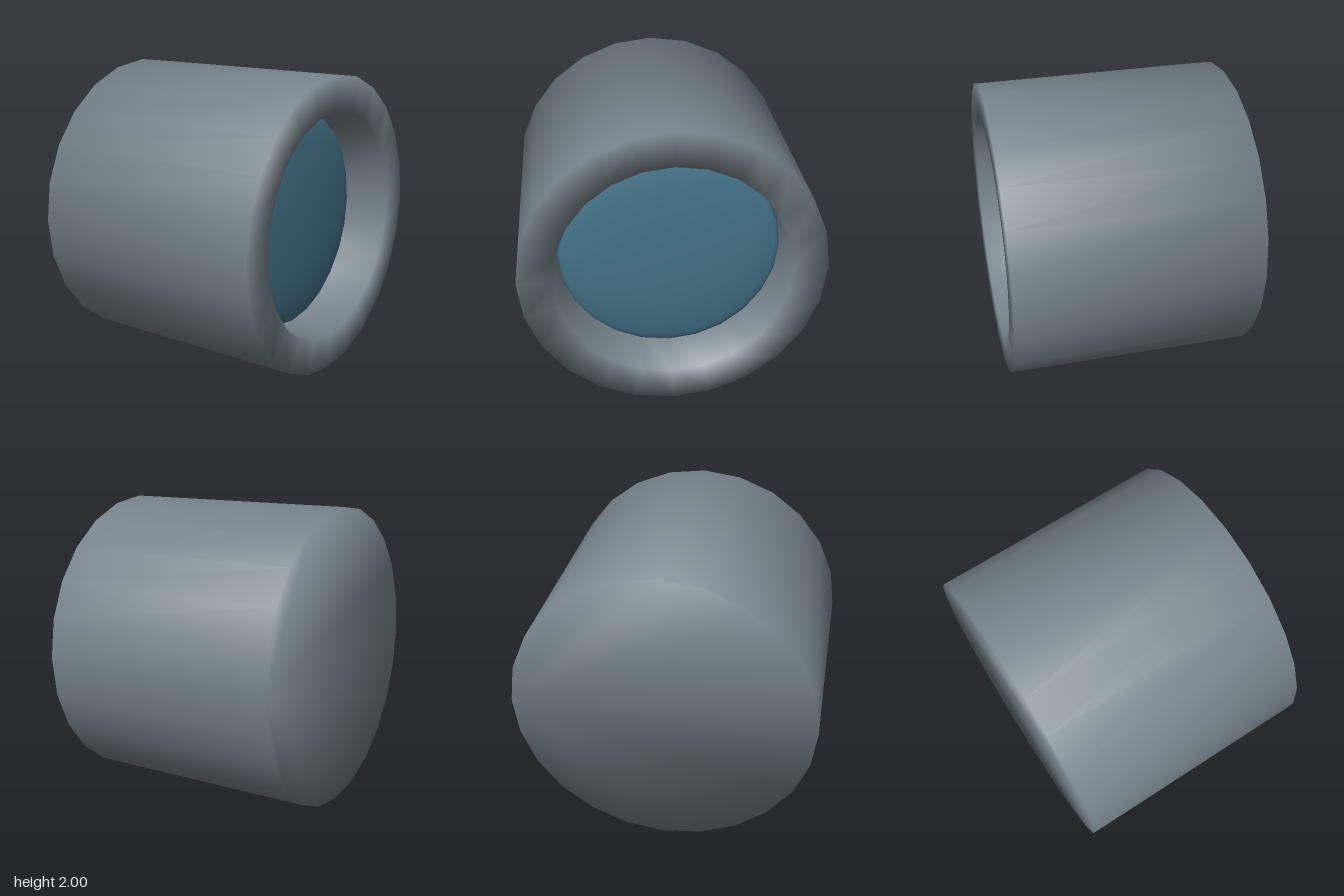
import * as THREE from 'three';

const SIDES = 24;

// Housing: a closed back, outer wall, front rim and tapered bore sharing smooth normals
function housingGeometry() {
  const profile = [[1, -0.815], [1, 0.815], [0.77, 0.815], [0.737, 0.46]]; // radius, z
  const positions = [];
  const index = [];
  for (const [r, z] of profile) {
    for (let j = 0; j < SIDES; j++) {
      const a = (j / SIDES) * Math.PI * 2;
      positions.push(r * Math.cos(a), r * Math.sin(a), z);
    }
  }
  for (let i = 0; i < profile.length - 1; i++) {
    for (let j = 0; j < SIDES; j++) {
      const k = (j + 1) % SIDES;
      const a = i * SIDES + j, b = i * SIDES + k;
      index.push(a, b, a + SIDES, b, b + SIDES, a + SIDES);
    }
  }
  // Flat back cap
  for (let j = 1; j < SIDES - 1; j++) index.push(0, j + 1, j);

  const geometry = new THREE.BufferGeometry();
  geometry.setAttribute('position', new THREE.Float32BufferAttribute(positions, 3));
  geometry.setIndex(index);
  geometry.computeVertexNormals();
  // Even, soft shading around the back edge
  for (let j = 0; j < SIDES; j++) {
    const a = (j / SIDES) * Math.PI * 2;
    geometry.attributes.normal.setXYZ(j, 0.85 * Math.cos(a), 0.85 * Math.sin(a), -0.53);
  }
  return geometry;
}

export function createModel() {
  const housingGrey = new THREE.MeshStandardMaterial({ color: 0x77838b });
  housingGrey.name = 'housing grey';
  const lensBlue = new THREE.MeshStandardMaterial({ color: 0x447389 });
  lensBlue.name = 'lens blue';

  const model = new THREE.Group();
  model.name = 'lensBarrel';

  const housing = new THREE.Mesh(housingGeometry(), housingGrey);
  housing.name = 'housing';
  housing.position.y = 1;

  // Shallow domed lens set back inside the bore
  const dome = new THREE.SphereGeometry(0.74, SIDES, 10, 0, Math.PI * 2, 0, Math.PI / 2);
  dome.rotateX(Math.PI / 2);
  dome.scale(1, 1, 0.13);
  const lens = new THREE.Mesh(dome, lensBlue);
  lens.name = 'lens';
  lens.position.set(0, 1, 0.5);

  model.add(housing, lens);
  return model;
}
